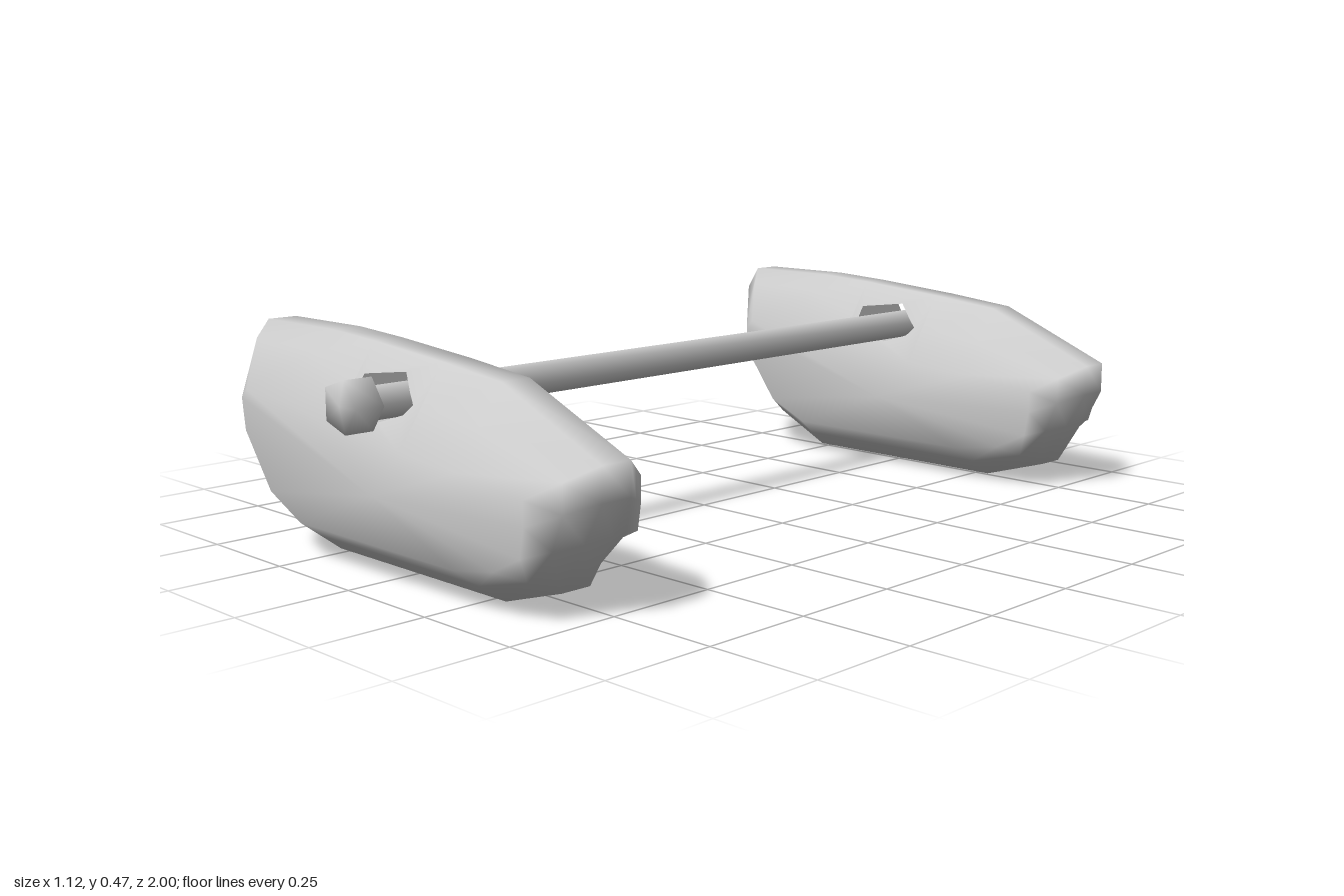
import * as THREE from 'three';
import { mergeVertices, mergeGeometries } from 'three/addons/utils/BufferGeometryUtils.js';

// Float outline, clockwise from the upper rear: keel x, y, then side-face x, y, then lift of the shoulder
const OUTLINE = [
  [-0.53, 0.475, -0.45, 0.34, 0.035], [-0.28, 0.475, -0.28, 0.33, 0.03],
  [-0.13, 0.466, -0.13, 0.30, 0], [0.10, 0.447, 0.10, 0.28, 0],
  [0.28, 0.428, 0.28, 0.27, 0], [0.56, 0.31, 0.47, 0.25, 0],
  [0.56, 0.24, 0.47, 0.20, 0], [0.51, 0.155, 0.46, 0.14, 0],
  [0.445, 0.05, 0.38, 0.10, 0], [0.28, 0, 0.26, 0.08, 0],
  [-0.28, 0, -0.26, 0.08, 0], [-0.43, 0.075, -0.37, 0.13, 0],
  [-0.555, 0.27, -0.46, 0.25, 0], [-0.565, 0.42, -0.47, 0.32, 0],
];
const HOLE = [
  [-0.11, 0.405], [0.01, 0.42], [0.05, 0.385], [0.075, 0.365],
  [0.06, 0.345], [0, 0.325], [-0.05, 0.345], [-0.11, 0.355],
];
const LAYERS = [-0.145, -0.09, -0.035, 0.035, 0.09, 0.145];
const HOLE_SEGMENT = 2;
const SHAFT = { x: -0.007, y: 0.366 };

const material = new THREE.MeshStandardMaterial({ color: 0xcccccc, side: THREE.DoubleSide });

function meshGeometry(positions, index) {
  const g = new THREE.BufferGeometry();
  g.setAttribute('position', new THREE.Float32BufferAttribute(positions, 3));
  g.setIndex(index);
  return g;
}

// Weld all corners so shading runs smoothly across them
function smooth(geometry) {
  geometry.deleteAttribute('normal');
  geometry.deleteAttribute('uv');
  const g = mergeVertices(geometry, 1e-4);
  g.computeVertexNormals();
  return g;
}

function layerPoint([ox, oy, ix, iy, lift], z) {
  const t = (Math.abs(z) - 0.035) / 0.11;
  const up = Math.abs(z) === 0.09 ? lift : 0;
  return [ox + (ix - ox) * t, oy + (iy - oy) * t + up, z];
}

// Half-width of the sloping shoulder around the shaft hole
function slopeZ(x, y) {
  const a = OUTLINE[HOLE_SEGMENT], b = OUTLINE[HOLE_SEGMENT + 1];
  const s = (x - a[0]) / (b[0] - a[0]);
  const top = a[1] + (b[1] - a[1]) * s, low = a[3] + (b[3] - a[3]) * s;
  return 0.035 + 0.11 * (top - y) / (top - low);
}

// Stacked outline rings closed by a fan on each side, leaving the hole panels open
function hullGeometry() {
  const n = OUTLINE.length, positions = [], index = [];
  for (const z of LAYERS) for (const p of OUTLINE) positions.push(...layerPoint(p, z));
  for (let k = 0; k < LAYERS.length - 1; k++) {
    for (let j = 0; j < n; j++) {
      if (j === HOLE_SEGMENT && k !== 2) continue;
      const m = (j + 1) % n, a = k * n, b = a + n;
      index.push(a + j, b + j, a + m, b + j, b + m, a + m);
    }
  }
  const back = n * LAYERS.length, last = n * (LAYERS.length - 1);
  positions.push(0, 0.18, -0.145, 0, 0.18, 0.145);
  for (let j = 0; j < n; j++) {
    const m = (j + 1) % n;
    index.push(back, j, m, back + 1, last + m, last + j);
  }
  return meshGeometry(positions, index);
}

// Sloping panel with the shaft hole cut in it
function holePanel(side) {
  const a = OUTLINE[HOLE_SEGMENT], b = OUTLINE[HOLE_SEGMENT + 1];
  const shape = new THREE.Shape([[a[0], a[1]], [b[0], b[1]], [b[2], b[3]], [a[2], a[3]]]
    .map(p => new THREE.Vector2(...p)));
  shape.holes.push(new THREE.Path(HOLE.map(p => new THREE.Vector2(...p))));
  const g = new THREE.ShapeGeometry(shape);
  const pos = g.attributes.position;
  for (let i = 0; i < pos.count; i++) pos.setZ(i, side * slopeZ(pos.getX(i), pos.getY(i)));
  if (side < 0) g.index.array.reverse();
  g.deleteAttribute('normal');
  g.deleteAttribute('uv');
  return g;
}

// Inner wall of the hole, facing the shaft
function tunnelGeometry() {
  const positions = [], index = [], n = HOLE.length;
  for (const [x, y] of HOLE) {
    const z = slopeZ(x, y);
    positions.push(x, y, z, x, y, -z);
  }
  for (let j = 0; j < n; j++) {
    const a = 2 * j, b = 2 * ((j + 1) % n);
    index.push(a, b, a + 1, b, b + 1, a + 1);
  }
  const g = meshGeometry(positions, index).toNonIndexed();
  g.computeVertexNormals();
  return g;
}

function add(parent, name, geometry, x = 0, y = 0, z = 0) {
  const mesh = new THREE.Mesh(geometry, material);
  mesh.name = name;
  mesh.position.set(x, y, z);
  parent.add(mesh);
}

// Five-sided rod along z with one edge pointing to +x
function rod(radius, length) {
  return new THREE.CylinderGeometry(radius, radius, length, 5, 1, false, Math.PI / 2).rotateX(Math.PI / 2);
}

export function createModel() {
  const model = new THREE.Group();
  model.name = 'twinFloatAxle';

  const hull = smooth(mergeGeometries([hullGeometry(), holePanel(1), holePanel(-1)]));
  const tunnel = tunnelGeometry();
  const cap = smooth(rod(0.057, 0.065));

  // Two floats, each with its end cap on the shaft
  for (const [name, side] of [['front', 1], ['back', -1]]) {
    const float = new THREE.Group();
    float.name = name + 'Float';
    float.position.z = side * 0.795;
    add(float, 'hull', hull);
    add(float, 'shaftHole', tunnel);
    model.add(float);
    add(model, name + 'ShaftCap', cap, SHAFT.x, SHAFT.y, side * 0.9675);
  }

  // Shaft joining the floats
  add(model, 'shaft', rod(0.037, 1.9), SHAFT.x, SHAFT.y, 0);
  return model;
}
